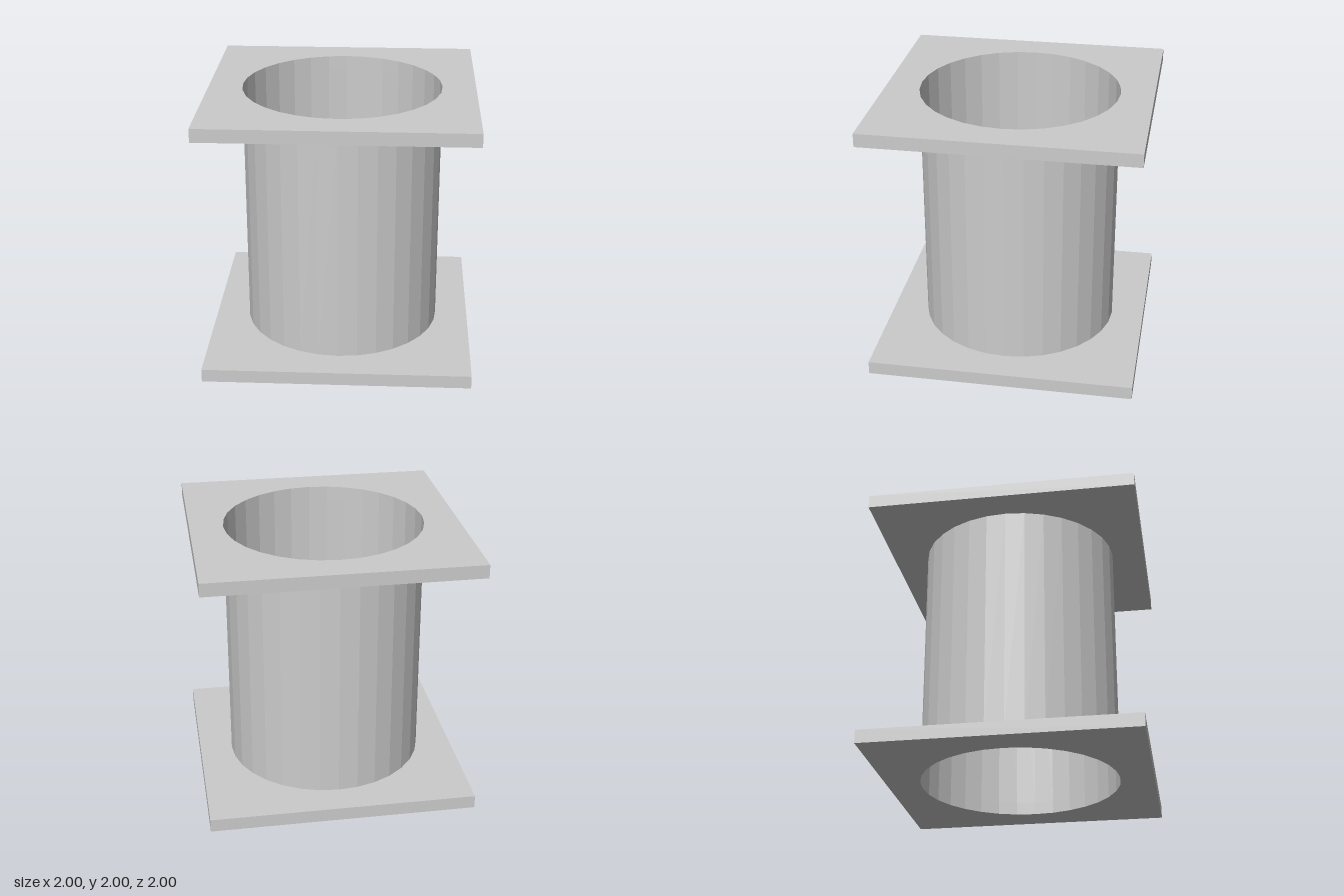
import * as THREE from 'three';

const SIDES = 32;
const RADIUS = 0.75;
const PLATE = 0.1; // flange thickness
const HEIGHT = 2;

// Square plate with a round hole, lying flat with its underside at y = 0
function flangeGeometry() {
  const shape = new THREE.Shape([
    new THREE.Vector2(-1, -1), new THREE.Vector2(1, -1),
    new THREE.Vector2(1, 1), new THREE.Vector2(-1, 1),
  ]);
  const hole = new THREE.Path();
  hole.absarc(0, 0, RADIUS, 0, Math.PI * 2, true);
  shape.holes.push(hole);
  return new THREE.ExtrudeGeometry(shape, {
    depth: PLATE, bevelEnabled: false, curveSegments: SIDES / 2,
  }).rotateX(-Math.PI / 2);
}

export function createModel() {
  const model = new THREE.Group();
  model.name = 'flangedTube';
  const plateMaterial = new THREE.MeshStandardMaterial({ color: 0xcccccc, flatShading: true });
  const tubeMaterial = new THREE.MeshStandardMaterial({
    color: 0xcccccc, flatShading: true, side: THREE.DoubleSide,
  });

  // Square flanges at both ends
  const flange = flangeGeometry();
  for (const [name, y] of [['bottomFlange', 0], ['topFlange', HEIGHT - PLATE]]) {
    const mesh = new THREE.Mesh(flange, plateMaterial);
    mesh.name = name;
    mesh.position.y = y;
    model.add(mesh);
  }

  // Thin open tube joining the rims of the two holes
  const tube = new THREE.Mesh(
    new THREE.CylinderGeometry(RADIUS, RADIUS, HEIGHT - 2 * PLATE, SIDES, 1, true),
    tubeMaterial,
  );
  tube.name = 'tube';
  tube.position.y = HEIGHT / 2;
  model.add(tube);

  return model;
}
